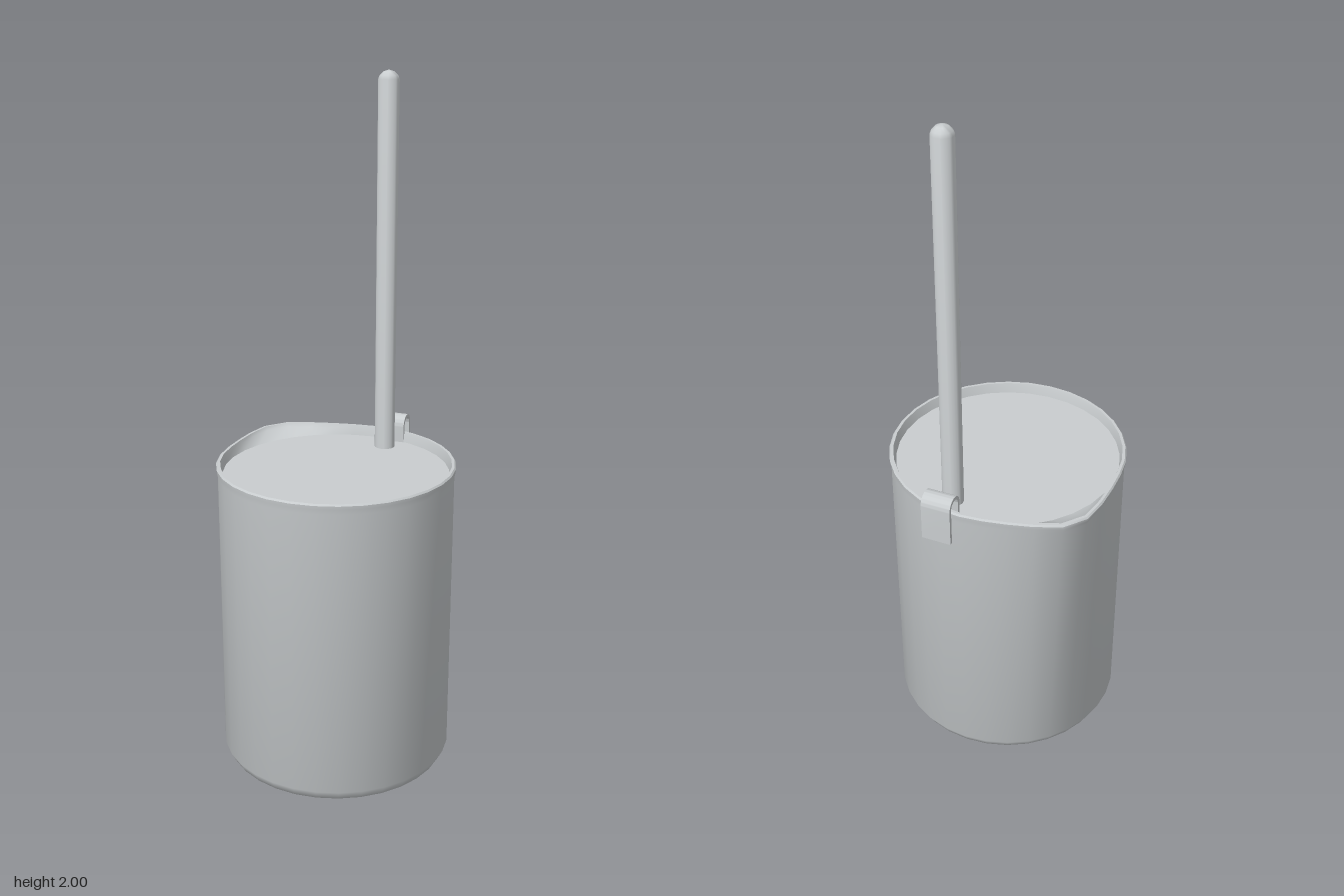
import * as THREE from 'three';
import { toCreasedNormals } from 'three/addons/utils/BufferGeometryUtils.js';

const SEGMENTS = 32;
const CENTRE_Z = 0.0125;

// Extra radius pulled out around the pouring lip, by distance from its middle
function spoutBulge(j) {
  const d = Math.floor(Math.abs((j % SEGMENTS) - 19.5));
  return [0.047, 0.024, 0.007][d] ?? 0;
}

// Skin through rings of [height, radius, share of the spout bulge]
function skin(rings) {
  const positions = [], index = [];
  for (const [y, r, share] of rings) {
    for (let j = 0; j < SEGMENTS; j++) {
      const a = (j / SEGMENTS) * Math.PI * 2;
      const radius = r + share * spoutBulge(j);
      positions.push(Math.cos(a) * radius, y, Math.sin(a) * radius);
    }
  }
  for (let i = 0; i < rings.length - 1; i++) {
    for (let j = 0; j < SEGMENTS; j++) {
      const p = i * SEGMENTS + j, q = i * SEGMENTS + (j + 1) % SEGMENTS;
      index.push(p, p + SEGMENTS, q, q, p + SEGMENTS, q + SEGMENTS);
    }
  }
  const geometry = new THREE.BufferGeometry();
  geometry.setAttribute('position', new THREE.Float32BufferAttribute(positions, 3));
  geometry.setIndex(index);
  return toCreasedNormals(geometry, 0.7);
}

export function createModel() {
  const model = new THREE.Group();
  model.name = 'beakerWithRod';
  const grey = new THREE.MeshStandardMaterial({ color: 0xc9cdcf });
  grey.name = 'pale grey';

  const add = (name, geometry, x = 0, y = 0, z = 0) => {
    const mesh = new THREE.Mesh(geometry, grey);
    mesh.name = name;
    mesh.position.set(x, y, z);
    model.add(mesh);
    return mesh;
  };

  // Cup wall from the rounded foot, over the rim, down to the contents
  add('cupWall', skin([
    [0, 0.28, 0], [0.007, 0.302, 0], [0.022, 0.325, 0], [0.05, 0.34, 0],
    [0.9, 0.34, 0.93], [0.915, 0.343, 1], [0.925, 0.344, 1],
    [0.93, 0.34, 1], [0.93, 0.332, 1], [0.92, 0.329, 0.9], [0.9, 0.325, 0],
  ]), 0, 0, CENTRE_Z);

  // Flat base and the level surface just under the rim
  add('cupBase', new THREE.CircleGeometry(0.28, SEGMENTS).rotateX(Math.PI / 2), 0, 0, CENTRE_Z);
  add('contentsSurface', new THREE.CircleGeometry(0.325, SEGMENTS).rotateX(-Math.PI / 2), 0, 0.9, CENTRE_Z);

  // Stirring rod with a rounded tip
  const rodProfile = [[0, 0.06], [0.03, 0.06], [0.03, 1.975], [0.026, 1.985], [0.016, 1.995], [0, 2]];
  const rod = new THREE.LatheGeometry(rodProfile.map(([r, y]) => new THREE.Vector2(r, y)), 24);
  add('rod', toCreasedNormals(rod, 0.8), 0.058, 0, -0.242);

  // Strap hooked over the back rim
  const strap = new THREE.Shape();
  strap.moveTo(0.293, 0.89);
  strap.lineTo(0.293, 0.948);
  strap.absarc(0.325, 0.948, 0.032, Math.PI, 0, true);
  strap.lineTo(0.357, 0.84);
  strap.lineTo(0.347, 0.84);
  strap.lineTo(0.347, 0.948);
  strap.absarc(0.325, 0.948, 0.022, 0, Math.PI, false);
  strap.lineTo(0.303, 0.89);
  strap.closePath();
  const hook = new THREE.ExtrudeGeometry(strap, { depth: 0.086, bevelEnabled: false, curveSegments: 14 });
  hook.rotateY(Math.PI / 2);
  add('rimHook', toCreasedNormals(hook, 0.6), 0.015, 0, 0);

  return model;
}
